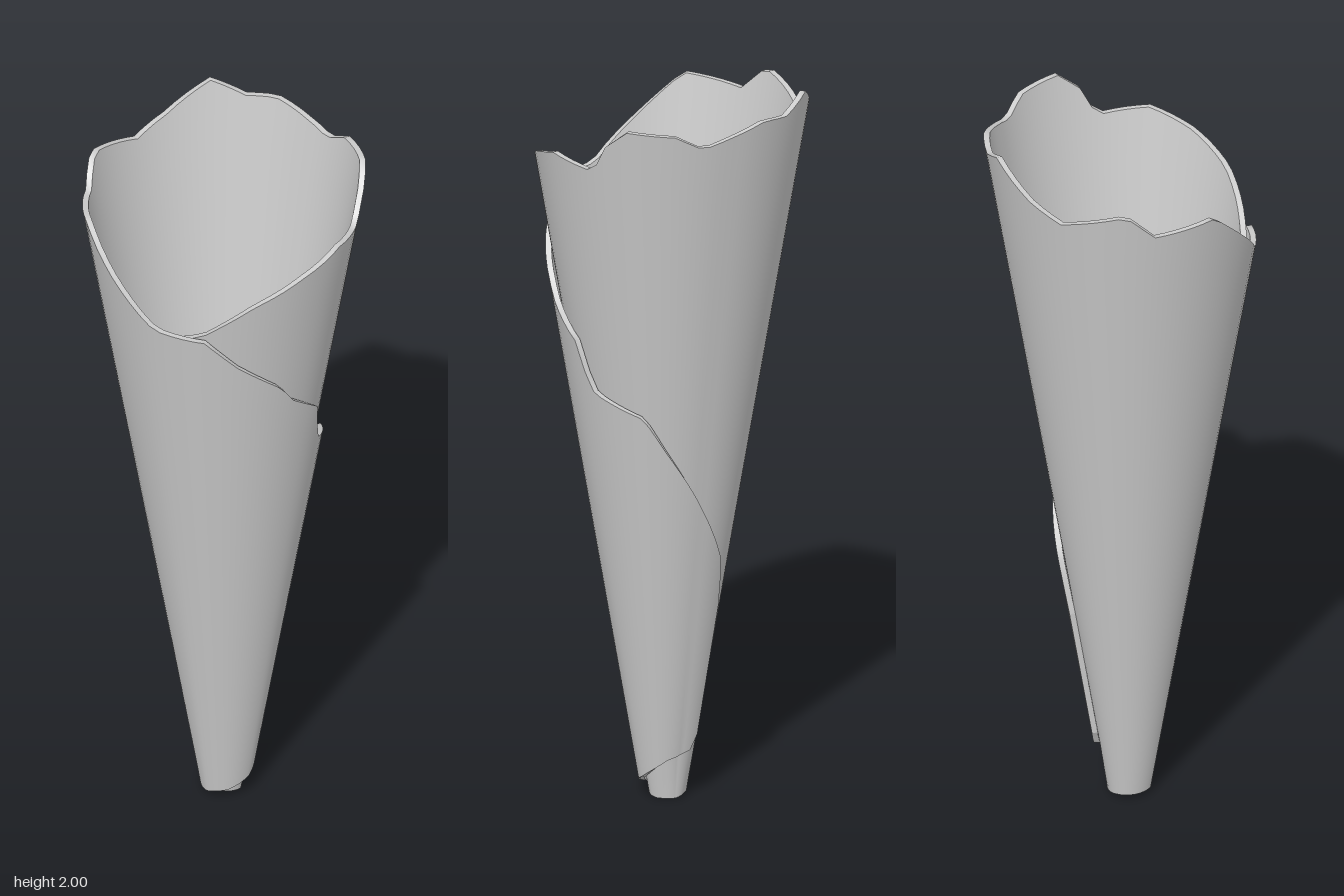
import * as THREE from 'three';

// Rolled sheet, described by the roll angle in degrees (0 = front, 90 = left side).
// It winds from the inner end (-540) to the outer end (215).
const START = -540, END = 215, THICK = 0.016;
const COLS = 151, ROWS = 14;

// Torn upper edge: [angle, height]
const TOP = [
  [-540, 0.3], [-513, 0.5], [-481, 0.85], [-470, 0.88], [-459, 1.0], [-437, 1.13], [-413, 1.28],
  [-380, 1.5], [-366, 1.58], [-331, 1.66], [-322, 1.7], [-308, 1.76], [-286, 1.82], [-265, 1.86],
  [-242, 1.84], [-235, 1.92], [-225, 1.97], [-205, 1.96], [-193, 1.92], [-164, 1.97], [-150, 1.96],
  [-135, 2.0], [-115, 1.92], [-100, 1.88], [-72, 1.93], [-60, 1.86], [-34, 1.88], [-16, 1.78],
  [7, 1.66], [30, 1.65], [45, 1.56], [67, 1.46], [75, 1.4], [98, 1.31], [101, 1.2], [107, 1.18],
  [137, 1.13], [151, 1.03], [185, 0.82], [205, 0.7], [210, 0.64], [215, 0.55],
];

// Lower edge: [angle, height]
const BOTTOM = [
  [-540, 0.03], [-400, 0.02], [-250, 0], [-180, 0], [-90, 0.01], [0, 0.015], [45, 0.03],
  [90, 0.06], [150, 0.12], [200, 0.14], [215, 0.18],
];

// How far each turn lies off the base cone: [angle, offset]
const OFFSET = [
  [-540, -0.042], [-450, -0.022], [-400, -0.014], [-360, -0.005], [-331, 0.002], [-270, 0],
  [-180, -0.02], [-90, 0], [0, 0.024], [30, 0.022], [90, 0.022], [135, 0.012], [180, -0.001],
  [215, 0.004],
];

function lookup(table, a) {
  for (let i = 1; i < table.length; i++) {
    const [a0, v0] = table[i - 1], [a1, v1] = table[i];
    if (a <= a1) return v0 + (v1 - v0) * (a - a0) / (a1 - a0);
  }
  return table[table.length - 1][1];
}

// Point on the sheet: u along the roll, v up the cone, d = 0 outer face, 1 inner face
function sheetPoint(u, v, d) {
  const a = START + (END - START) * u;
  const y = THREE.MathUtils.lerp(lookup(BOTTOM, a), lookup(TOP, a), v);
  const r = Math.max(0.05 + 0.168 * y + lookup(OFFSET, a), 0.04) - THICK * d;
  const t = THREE.MathUtils.degToRad(a);
  return [r * Math.sin(t), y, r * Math.cos(t)];
}

// Smooth surface patch from a function of (u, v)
function patch(nu, nv, fn) {
  const pos = [], idx = [];
  for (let j = 0; j <= nv; j++)
    for (let i = 0; i <= nu; i++) pos.push(...fn(i / nu, j / nv));
  for (let j = 0; j < nv; j++) {
    for (let i = 0; i < nu; i++) {
      const a = j * (nu + 1) + i, b = a + 1, c = a + nu + 1, e = c + 1;
      idx.push(a, b, e, a, e, c);
    }
  }
  const g = new THREE.BufferGeometry();
  g.setAttribute('position', new THREE.Float32BufferAttribute(pos, 3));
  g.setIndex(idx);
  g.computeVertexNormals();
  return g;
}

export function createModel() {
  const group = new THREE.Group();
  group.name = 'rolledCone';
  const material = new THREE.MeshStandardMaterial({ color: 0xcccccc });
  const add = (name, geometry) => {
    const mesh = new THREE.Mesh(geometry, material);
    mesh.name = name;
    group.add(mesh);
  };

  // Both faces of the sheet
  add('outerFace', patch(COLS, ROWS, (u, v) => sheetPoint(u, v, 0)));
  add('innerFace', patch(COLS, ROWS, (u, v) => sheetPoint(1 - u, v, 1)));

  // Thin rims that close the thickness
  add('topEdge', patch(COLS, 1, (u, v) => sheetPoint(u, 1, v)));
  add('bottomEdge', patch(COLS, 1, (u, v) => sheetPoint(u, 0, 1 - v)));
  add('outerEndEdge', patch(1, ROWS, (u, v) => sheetPoint(1, v, u)));
  add('innerEndEdge', patch(1, ROWS, (u, v) => sheetPoint(0, v, 1 - u)));

  return group;
}
